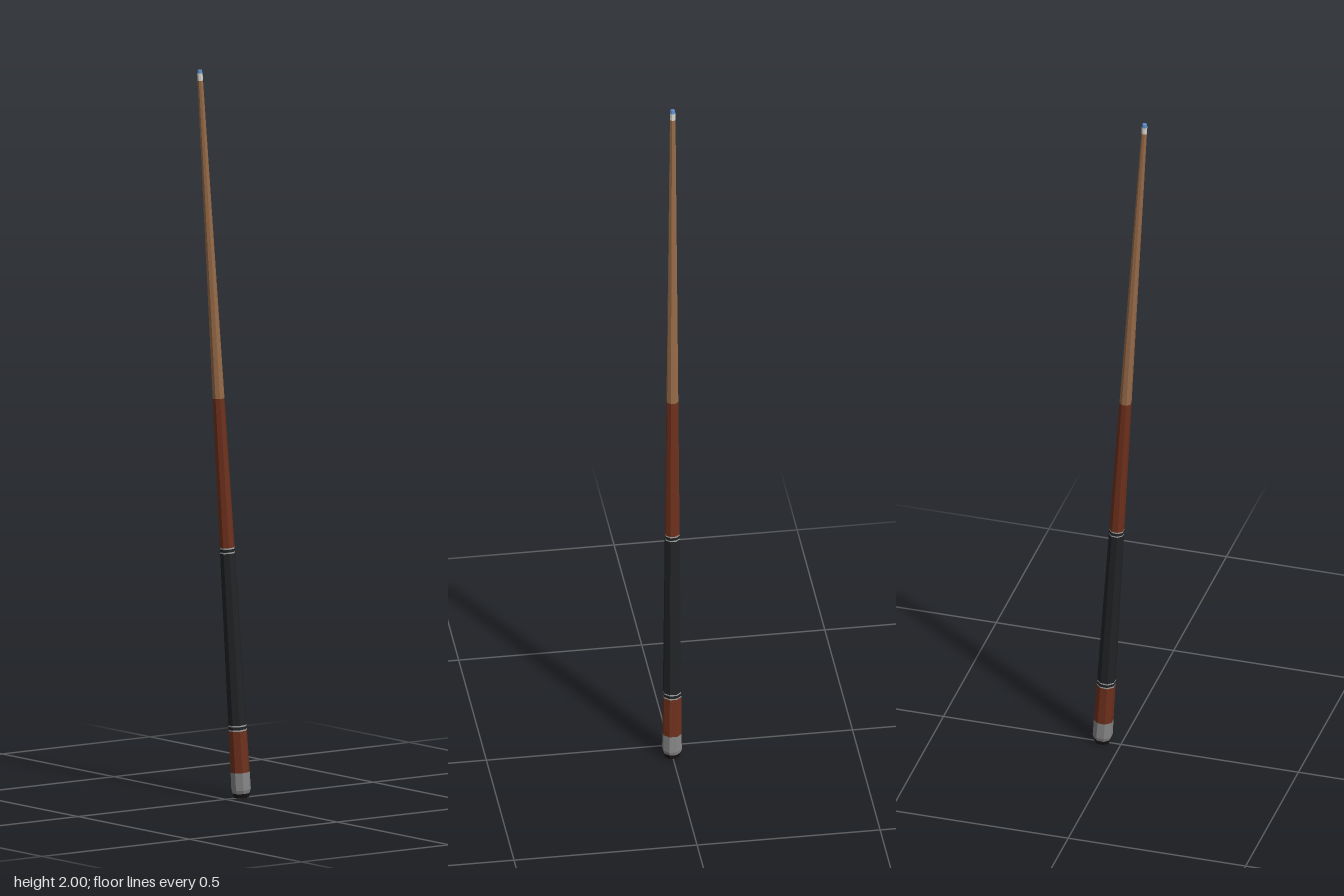
import * as THREE from 'three';

export function createModel() {
  const model = new THREE.Group();
  model.name = 'cue';
  const mat = (name, color) => {
    const m = new THREE.MeshStandardMaterial({ color, flatShading: true });
    m.name = name;
    return m;
  };
  const rubber = mat('rubberBlack', 0x1a1414);
  const grey = mat('capGrey', 0x868686);
  const redWood = mat('redWood', 0x6e301c);
  const paleWood = mat('paleWood', 0x966a48);
  const wrap = mat('wrapBlack', 0x212325);
  const silver = mat('silver', 0xa0a0a0);
  const white = mat('ferruleWhite', 0xd8d4cc);
  const blue = mat('chalkBlue', 0x5a8cc8);

  // Straight taper from butt to tip, sampled at a height along the axis
  const butt = new THREE.Vector3(0.053, 0.002, 0.001);
  const tip = new THREE.Vector3(-0.073, 1.999, -0.02);
  const length = butt.distanceTo(tip);
  const radius = (y) => 0.0275 + (0.0075 - 0.0275) * (y / length);

  // Eight-sided section between two heights, with a flat facing sideways
  const section = (name, y0, y1, material, r0 = radius(y0), r1 = radius(y1), open = true) => {
    const geo = new THREE.CylinderGeometry(r1, r0, y1 - y0, 8, 1, open, Math.PI / 8);
    geo.translate(0, (y0 + y1) / 2, 0);
    const mesh = new THREE.Mesh(geo, material);
    mesh.name = name;
    model.add(mesh);
  };

  // Butt: rubber bumper, chamfered cap and sleeve
  section('bumper', 0, 0.012, rubber, 0.021, 0.024, false);
  section('capChamfer', 0.012, 0.022, grey, 0.024, radius(0.022));
  section('buttCap', 0.022, 0.07, grey);
  section('buttSleeve', 0.07, 0.184, redWood);

  // Grip wrap between two ringed collars
  for (const [name, y] of [['lowerCollar', 0.184], ['upperCollar', 0.672]]) {
    section(name + 'RingBottom', y, y + 0.004, silver);
    section(name + 'Band', y + 0.004, y + 0.012, wrap);
    section(name + 'RingTop', y + 0.012, y + 0.016, silver);
  }
  section('gripWrap', 0.2, 0.672, wrap);

  // Forearm, shaft, ferrule and chalked tip
  section('forearm', 0.688, 1.098, redWood);
  section('shaft', 1.098, 1.972, paleWood);
  section('ferrule', 1.972, 1.992, white);
  section('tip', 1.992, length, blue, radius(1.992), 0.0062, false);

  // Lean the whole cue from butt to tip
  model.quaternion.setFromUnitVectors(
    new THREE.Vector3(0, 1, 0), tip.clone().sub(butt).normalize());
  model.position.copy(butt);

  const root = new THREE.Group();
  root.name = 'leaningCue';
  root.add(model);
  return root;
}
